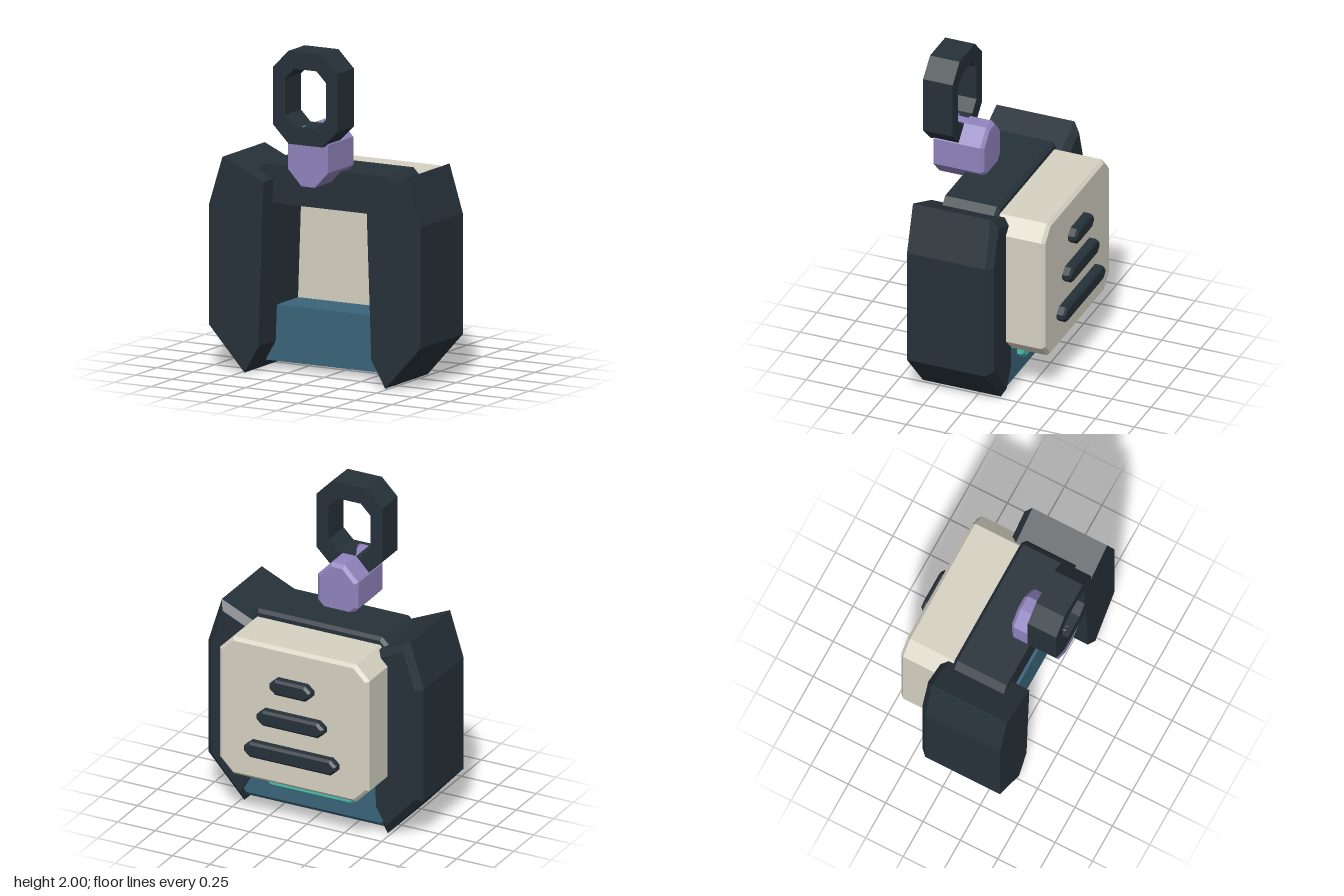
import * as THREE from 'three';

const mat = (name, color) => {
  const m = new THREE.MeshStandardMaterial({ color });
  m.name = name;
  return m;
};

// Moves every edge of a convex counter-clockwise outline inwards by d
function inset(pts, d) {
  const n = pts.length;
  return pts.map((p, i) => {
    const a = pts[(i + n - 1) % n], b = pts[(i + 1) % n];
    const u = new THREE.Vector2(p[0] - a[0], p[1] - a[1]).normalize();
    const v = new THREE.Vector2(b[0] - p[0], b[1] - p[1]).normalize();
    const k = d / (1 + u.dot(v));
    return [p[0] - (u.y + v.y) * k, p[1] + (u.x + v.x) * k];
  });
}

// Convex prism from z = front to z = back, with a chamfer around its back face
function prism(pts, front, back, bevel) {
  const n = pts.length, pos = [];
  const rings = [[pts, front], [pts, back + bevel], [inset(pts, bevel), back]]
    .map(([ring, z]) => ring.map(([x, y]) => [x, y, z]));
  const tri = (a, b, c) => pos.push(...a, ...b, ...c);
  for (let r = 0; r < 2; r++) {
    const [A, B] = [rings[r], rings[r + 1]];
    for (let i = 0; i < n; i++) {
      const j = (i + 1) % n;
      tri(A[i], B[i], B[j]);
      tri(A[i], B[j], A[j]);
    }
  }
  for (let i = 1; i < n - 1; i++) {
    tri(rings[0][0], rings[0][i], rings[0][i + 1]);
    tri(rings[2][0], rings[2][i + 1], rings[2][i]);
  }
  const g = new THREE.BufferGeometry();
  g.setAttribute('position', new THREE.Float32BufferAttribute(pos, 3));
  g.computeVertexNormals();
  return g;
}

// Rectangle with cut corners, counter-clockwise
const octagon = (w, y0, y1, cx, cy = cx) => [
  [-w + cx, y0], [w - cx, y0], [w, y0 + cy], [w, y1 - cy],
  [w - cx, y1], [-w + cx, y1], [-w, y1 - cy], [-w, y0 + cy],
];

export function createModel() {
  const dark = mat('dark slate', 0x263139);
  const cream = mat('cream', 0xd6d2c3);
  const blue = mat('steel blue', 0x3a647a);
  const teal = mat('teal', 0x4dbfb3);
  const purple = mat('lavender', 0x9184be);

  const model = new THREE.Group();
  const add = (name, geometry, material) => {
    const mesh = new THREE.Mesh(geometry, material);
    mesh.name = name;
    model.add(mesh);
  };

  // Side panels
  const panel = [[0.48, 0.005], [0.72, 0.27], [0.72, 1.0], [0.63, 1.29], [0.35, 1.165], [0.385, 0.17]];
  add('leftPanel', prism(panel, 0.365, -0.175, 0.04), dark);
  add('rightPanel', prism(panel.map(([x, y]) => [-x, y]).reverse(), 0.365, -0.175, 0.04), dark);

  // Cross bars joining the panels
  add('topBar', prism(octagon(0.46, 1.02, 1.255, 0.045), 0.25, -0.1, 0.02), dark);
  add('bottomBar', prism(octagon(0.5, 0.05, 0.39, 0.04), 0.16, -0.17, 0.03), blue);

  // Back box with three vents, and the light strip below it
  add('backBox', prism(octagon(0.5, 0.31, 1.21, 0.09), -0.09, -0.42, 0.02), cream);
  [[0.31, 0.525], [0.225, 0.75], [0.14, 0.97]].forEach(([w, y], i) =>
    add('vent' + (i + 1), prism(octagon(w, y - 0.05, y + 0.05, 0.04, 0.035), -0.41, -0.475, 0.015), dark));
  add('lightStrip', prism(octagon(0.32, 0.175, 0.305, 0.05, 0.045), -0.15, -0.21, 0.015), teal);

  // Hanger block
  add('hangerBlock', prism(octagon(0.135, 1.185, 1.545, 0.09, 0.095), 0.445, 0.125, 0.02), purple);

  // Hanging ring
  const toPoints = (pts) => pts.map(([x, y]) => new THREE.Vector2(x, y));
  const ring = new THREE.Shape(toPoints(octagon(0.22, 1.44, 2.0, 0.105)));
  ring.holes.push(new THREE.Path(toPoints(octagon(0.14, 1.545, 1.895, 0.065))));
  const ringGeometry = new THREE.ExtrudeGeometry(ring, { depth: 0.19, bevelEnabled: false });
  ringGeometry.translate(0, 0, 0.285);
  add('hangingRing', ringGeometry, dark);

  return model;
}
